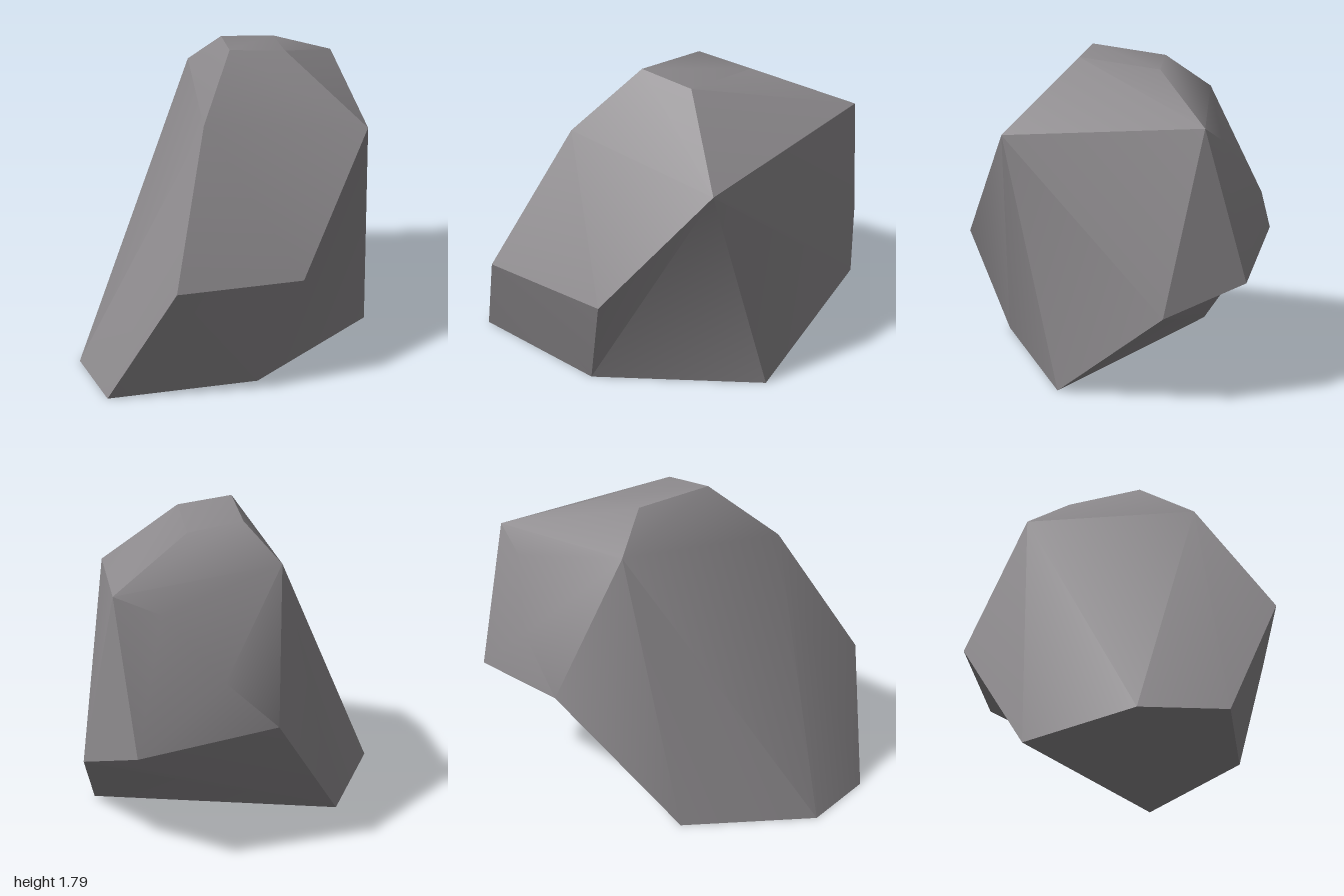
import * as THREE from 'three';
import { toCreasedNormals } from 'three/addons/utils/BufferGeometryUtils.js';

// Corners of the boulder
const P = {
  // crown
  t1: [-0.02, 1.79, 0.16], t2: [0.30, 1.76, 0.10], t3: [0.30, 1.72, -0.38], t4: [-0.02, 1.75, -0.29],
  // shoulders
  m: [-0.20, 1.48, 0.53], g: [0.73, 1.38, 0.37], d: [0.73, 1.51, -0.79], a: [-0.20, 1.56, -0.50],
  // chipped back
  q: [0.48, 1.40, -0.80], p: [0.17, 1.06, -0.93], b: [-0.12, 0.78, -0.90],
  // belly
  i: [-0.39, 0.72, 1.0], h: [0.31, 0.68, 0.82], e: [0.91, 0.53, -0.64], c: [0.64, 0.69, -1.0],
  // foot
  j: [-0.77, 0, 0.79], n: [0.08, 0, 0.69], f: [0.84, 0, 0], l: [-0.57, 0, -0.36], k: [-0.92, 0, 0.35],
};

// Facets as corner loops, each filled as a fan from its first corner
const FACETS = [
  't1 t2 t3 t4', 't1 m g t2', 'm i h g', 'i j n h', 'g h n f', 'g f e d', 't2 g d t3',
  't4 t3 d a', 'a l k m t1 t4', 'm k j i', 'a d q p', 'a p b', 'a b l',
  'd c q', 'q c p', 'p c b', 'd e c', 'f l e', 'e l b c', 'j k l f n',
];

function facetedGeometry() {
  const inside = new THREE.Vector3(0, 0.8, 0);
  const positions = [];
  for (const facet of FACETS) {
    const loop = facet.split(' ').map((name) => new THREE.Vector3(...P[name]));
    for (let s = 1; s < loop.length - 1; s++) {
      const tri = [loop[0], loop[s], loop[s + 1]];
      // turn every triangle to face outward
      const normal = new THREE.Triangle(...tri).getNormal(new THREE.Vector3());
      if (normal.dot(tri[0].clone().sub(inside)) < 0) tri.reverse();
      for (const v of tri) positions.push(v.x, v.y, v.z);
    }
  }
  const geometry = new THREE.BufferGeometry();
  geometry.setAttribute('position', new THREE.Float32BufferAttribute(positions, 3));
  geometry.computeVertexNormals();
  // soft shallow creases, hard edges elsewhere
  return toCreasedNormals(geometry, 0.6);
}

export function createModel() {
  const stone = new THREE.MeshStandardMaterial({ color: 0x8c898c });
  stone.name = 'stone grey';

  const boulder = new THREE.Mesh(facetedGeometry(), stone);
  boulder.name = 'boulder';

  const group = new THREE.Group();
  group.name = 'rock';
  group.add(boulder);
  return group;
}
